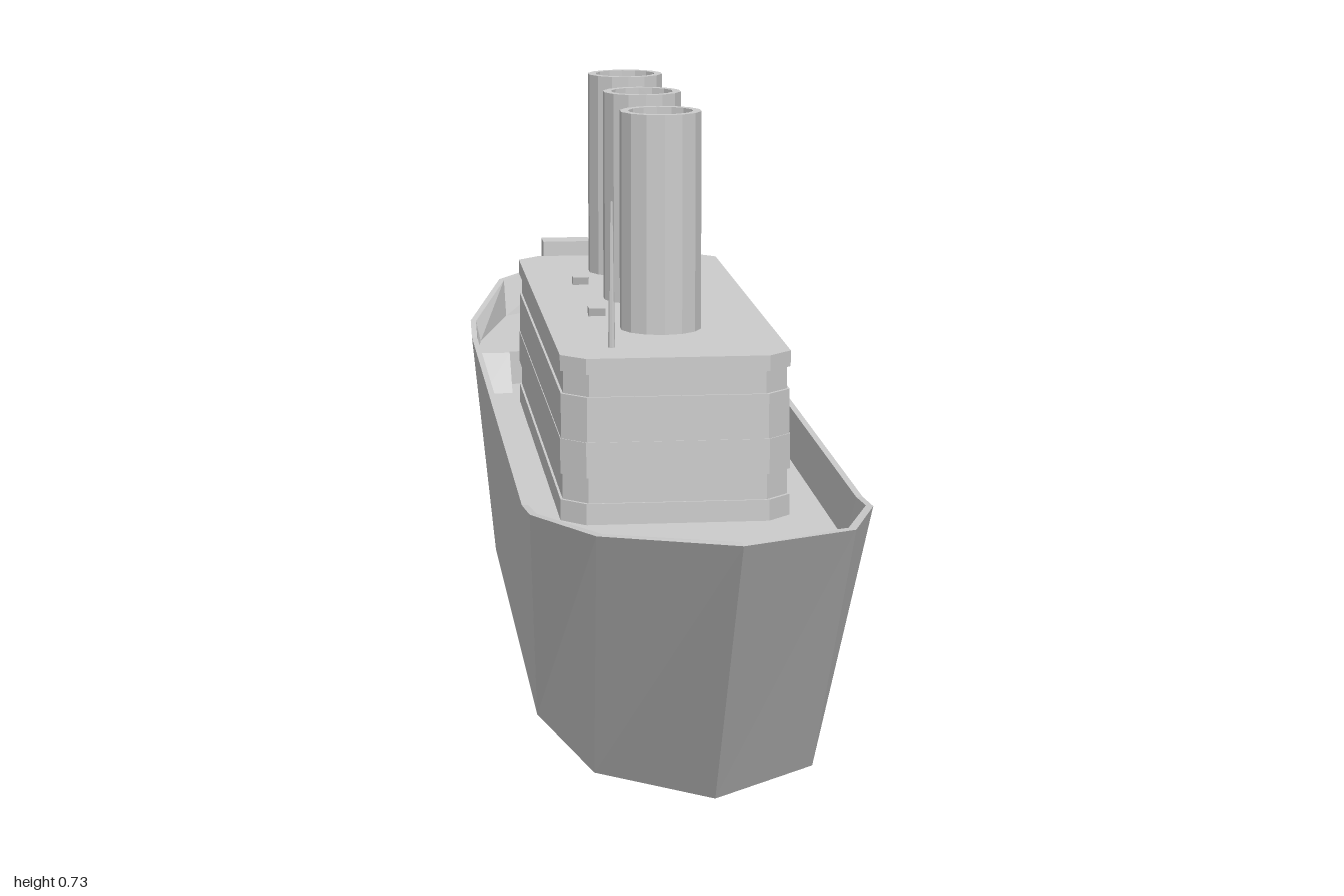
import * as THREE from 'three';

const material = new THREE.MeshStandardMaterial({ color: 0xcccccc, flatShading: true });

function add(parent, name, geometry, x = 0, y = 0, z = 0) {
  const mesh = new THREE.Mesh(geometry, material);
  mesh.name = name;
  mesh.position.set(x, y, z);
  parent.add(mesh);
  return mesh;
}

// Skin closed cross-sections, one after another, with flat quads
function loft(sections) {
  const positions = [];
  for (let i = 0; i < sections.length - 1; i++) {
    const s = sections[i], t = sections[i + 1];
    for (let j = 0; j < s.length; j++) {
      const k = (j + 1) % s.length;
      positions.push(...s[j], ...t[j], ...t[k], ...s[j], ...t[k], ...s[k]);
    }
  }
  const geometry = new THREE.BufferGeometry();
  geometry.setAttribute('position', new THREE.Float32BufferAttribute(positions, 3));
  geometry.computeVertexNormals();
  return geometry;
}

// Extrude a side profile of [z, y] points across the ship, centred on x = 0
function acrossShip(profile, width) {
  const shape = new THREE.Shape(profile.map(([z, y]) => new THREE.Vector2(-z, y)));
  return new THREE.ExtrudeGeometry(shape, { depth: width, bevelEnabled: false })
    .translate(0, 0, -width / 2).rotateY(Math.PI / 2);
}

// Rectangle with cut corners, or square ones when cut is 0
function plan(w, d, cut) {
  const x = w / 2, y = d / 2, c = cut;
  const pts = c
    ? [[x - c, -y], [x, -y + c], [x, y - c], [x - c, y], [c - x, y], [-x, y - c], [-x, c - y], [c - x, -y]]
    : [[x, -y], [x, y], [-x, y], [-x, -y]];
  return pts.map(([a, b]) => new THREE.Vector2(a, b));
}

function upright(shape, height) {
  return new THREE.ExtrudeGeometry(shape, { depth: height, bevelEnabled: false }).rotateX(-Math.PI / 2);
}

export function createModel() {
  const ship = new THREE.Group();
  ship.name = 'steamship';
  const deckY = 0.235, aftY = 0.285;

  // Hull stations, bow to stern: bottom [x, z], rim [x, y, z], inner rim [x, z], deck edge [x, y, z]
  const stations = [
    [[0, 0.77], [0, 0.357, 1], [0, 0.982], [0, deckY, 0.9]],
    [[0.13, 0.66], [0.145, 0.337, 0.86], [0.138, 0.85], [0.138, deckY, 0.78]],
    [[0.18, 0.42], [0.203, 0.31, 0.64], [0.195, 0.635], [0.19, deckY, 0.54]],
    [[0.18, 0.41], [0.206, 0.3, 0.55], [0.198, 0.55], [0.193, deckY, 0.5]],
    [[0.18, -0.4], [0.206, 0.3, -0.51], [0.198, -0.51], [0.193, deckY, -0.51]],
    [[0.18, -0.4], [0.206, 0.3, -0.51], [0.198, -0.51], [0.196, aftY, -0.51]],
    [[0.18, -0.41], [0.206, 0.3, -0.55], [0.198, -0.55], [0.196, aftY, -0.54]],
    [[0.18, -0.42], [0.203, 0.31, -0.64], [0.195, -0.635], [0.19, aftY, -0.6]],
    [[0.13, -0.66], [0.145, 0.337, -0.86], [0.138, -0.85], [0.137, aftY, -0.815]],
    [[0, -0.77], [0, 0.357, -1], [0, -0.982], [0, aftY, -0.94]],
  ];
  add(ship, 'hull', loft(stations.map(([b, r, i, d]) => {
    const half = [[b[0], 0, b[1]], r, [i[0], r[1], i[1]], d];
    const mirror = half.map(([x, y, z]) => [-x, y, z]).reverse();
    return [...half, ...mirror];
  })));

  // Ramps from the main deck up to the aft deck
  for (const side of [-1, 1]) {
    add(ship, side > 0 ? 'leftRamp' : 'rightRamp',
      acrossShip([[-0.44, deckY], [-0.515, deckY], [-0.515, aftY], [-0.5, aftY]], 0.042), side * 0.173);
  }

  // Deckhouse in bands, with shallow recessed courses between them
  const house = new THREE.Group();
  house.name = 'deckhouse';
  ship.add(house);
  const bands = [
    [deckY - 0.005, 0.262, 0], [0.262, 0.295, 0.003], [0.295, 0.34, 0],
    [0.34, 0.397, 0.001], [0.397, 0.426, 0.004], [0.426, 0.446, 0],
  ];
  for (const [from, to, inset] of bands) {
    const shape = new THREE.Shape(plan(0.29 - 2 * inset, 0.805 - 2 * inset, 0.03));
    add(house, 'deckhouseBand', upright(shape, to - from), 0, from, -0.008);
  }

  // Funnels with a stepped, hollow mouth
  const funnel = new THREE.LatheGeometry(
    [[0.053, 0], [0.053, 0.284], [0.042, 0.284], [0.042, 0.268], [0.036, 0.262], [0.036, 0.235], [0, 0.235]]
      .map(([r, y]) => new THREE.Vector2(r, y)), 14);
  for (const z of [0.19, -0.04, -0.27]) add(ship, 'funnel', funnel, 0, 0.445, z);

  // Mast and roof vents
  add(ship, 'mast', new THREE.CylinderGeometry(0.0018, 0.0045, 0.186, 8), -0.076, 0.538, 0.32);
  for (const z of [0.09, -0.16]) {
    add(ship, 'roofVent', acrossShip([[0.007, 0], [0.011, 0.012], [-0.011, 0.012], [-0.007, 0]], 0.022), -0.074, 0.445, z);
  }

  // Bow bollard
  add(ship, 'bowBollard', new THREE.BoxGeometry(0.02, 0.02, 0.024), 0, deckY + 0.01, 0.82);

  // Cargo hatch: raised coaming around a lower cover
  const coaming = new THREE.Shape(plan(0.228, 0.23, 0));
  coaming.holes.push(new THREE.Path(plan(0.206, 0.208, 0).reverse()));
  add(ship, 'hatchCoaming', upright(coaming, 0.027), 0, aftY - 0.001, -0.66);
  add(ship, 'hatchCover', new THREE.BoxGeometry(0.206, 0.012, 0.208), 0, aftY + 0.005, -0.66);

  // Stern cabin with a sloping back and two roof panels
  add(ship, 'sternCabin', acrossShip([
    [-0.795, aftY - 0.005], [-0.86, aftY - 0.005], [-0.86, 0.345], [-0.838, 0.375], [-0.838, 0.395], [-0.795, 0.395],
  ], 0.156));
  for (const side of [-1, 1]) {
    add(ship, 'cabinRoofPanel', new THREE.BoxGeometry(0.074, 0.014, 0.043), side * 0.041, 0.4, -0.8165);
  }
  return ship;
}
